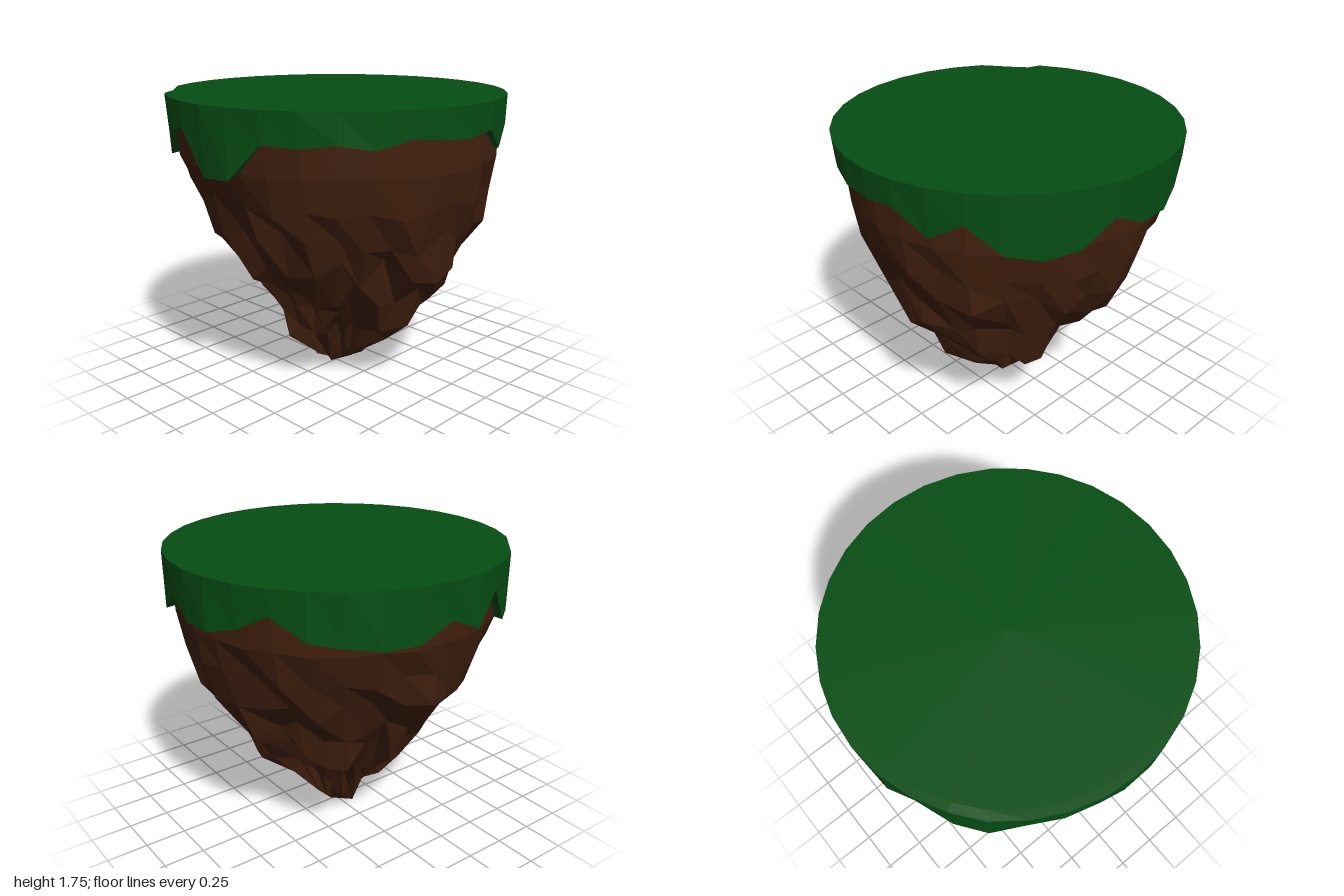
import * as THREE from 'three';

const SIDES = 32;

// seeded random numbers for the craggy rock
function seeded(seed) {
  return () => {
    seed = (seed * 1664525 + 1013904223) % 4294967296;
    return seed / 4294967296;
  };
}

// point at step k round the axis, starting at the front and turning to +x
function polar(k, r, y) {
  const a = (k / SIDES) * Math.PI * 2;
  return new THREE.Vector3(Math.sin(a) * r, y, Math.cos(a) * r);
}

const ring = (fn) => Array.from({ length: SIDES }, (_, k) => fn(k));

// join rings, listed from top to bottom; a ring of one point closes an end
function loft(rings) {
  const pts = [];
  for (let i = 0; i < rings.length - 1; i++) {
    const up = rings[i], low = rings[i + 1];
    for (let k = 0; k < SIDES; k++) {
      const a = up[k % up.length], b = low[k % low.length];
      const c = low[(k + 1) % low.length], d = up[(k + 1) % up.length];
      if (low.length > 1) pts.push(a, b, c);
      if (up.length > 1) pts.push(a, c, d);
    }
  }
  const geo = new THREE.BufferGeometry().setFromPoints(pts);
  geo.computeVertexNormals();
  return geo;
}

function part(name, geometry, color) {
  const mesh = new THREE.Mesh(geometry, new THREE.MeshStandardMaterial({
    color, flatShading: true, side: THREE.DoubleSide,
  }));
  mesh.name = name;
  return mesh;
}

// grass cap: flat disc, dented at the back, with an uneven overhanging edge
function grassCap() {
  const hem = [
    1.58, 1.60, 1.47, 1.58, 1.42, 1.38, 1.42, 1.55,
    1.46, 1.46, 1.51, 1.61, 1.49, 1.46, 1.44, 1.45,
    1.54, 1.45, 1.61, 1.38, 1.37, 1.52, 1.57, 1.61,
    1.37, 1.38, 1.58, 1.57, 1.59, 1.56, 1.61, 1.59,
  ];
  return loft([
    [new THREE.Vector3(0, 1.755, 0)],
    ring((k) => polar(k, 0.95, 1.755)),
    ring((k) => polar(k, 1, k === 20 ? 1.715 : 1.755)),
    ring((k) => polar(k, 0.99 + 0.008 * Math.sin(k * 2.3), hem[k])),
    ring((k) => polar(k, 0.91, hem[k] + 0.02)),
  ]);
}

// rock: craggy cone narrowing to a point
function rock() {
  // height, roughness, then reach in eight directions from the front
  // through +x, the back and -x
  const levels = [
    [1.70, 0.00, 0.93, 0.94, 0.94, 0.94, 0.94, 0.93, 0.93, 0.93],
    [1.40, 0.02, 0.94, 0.94, 0.93, 0.93, 0.93, 0.93, 0.90, 0.92],
    [1.20, 0.07, 0.92, 0.92, 0.90, 0.87, 0.90, 0.89, 0.82, 0.91],
    [1.00, 0.14, 0.88, 0.89, 0.86, 0.79, 0.87, 0.84, 0.76, 0.87],
    [0.82, 0.20, 0.82, 0.82, 0.71, 0.71, 0.74, 0.75, 0.68, 0.78],
    [0.64, 0.25, 0.75, 0.71, 0.60, 0.63, 0.63, 0.62, 0.56, 0.60],
    [0.47, 0.29, 0.64, 0.61, 0.49, 0.46, 0.40, 0.47, 0.43, 0.47],
    [0.32, 0.30, 0.36, 0.44, 0.31, 0.33, 0.30, 0.34, 0.35, 0.34],
    [0.16, 0.20, 0.16, 0.18, 0.17, 0.19, 0.20, 0.16, 0.13, 0.17],
  ];
  const rand = seeded(11);
  const groove = ring(() => rand());
  const rings = levels.map(([y, rough, ...reach]) => ring((k) => {
    const i = Math.floor(k / 4), t = (k % 4) / 4;
    const out = THREE.MathUtils.lerp(reach[i], reach[(i + 1) % 8], t);
    const cut = 0.5 * groove[k] + 0.5 * rand();
    const lift = (rand() - 0.5) * Math.min(rough, 0.2);
    const turn = (rand() - 0.5) * rough * 2.2;
    return polar(k + turn, out * (1.02 - rough * cut), y + lift);
  }));
  rings.push([new THREE.Vector3(0.04, 0, 0.01)]);
  return loft(rings);
}

export function createModel() {
  const island = new THREE.Group();
  island.name = 'floatingIsland';
  island.add(part('grassCap', grassCap(), 0x064e14));
  island.add(part('rock', rock(), 0x43210f));
  return island;
}
